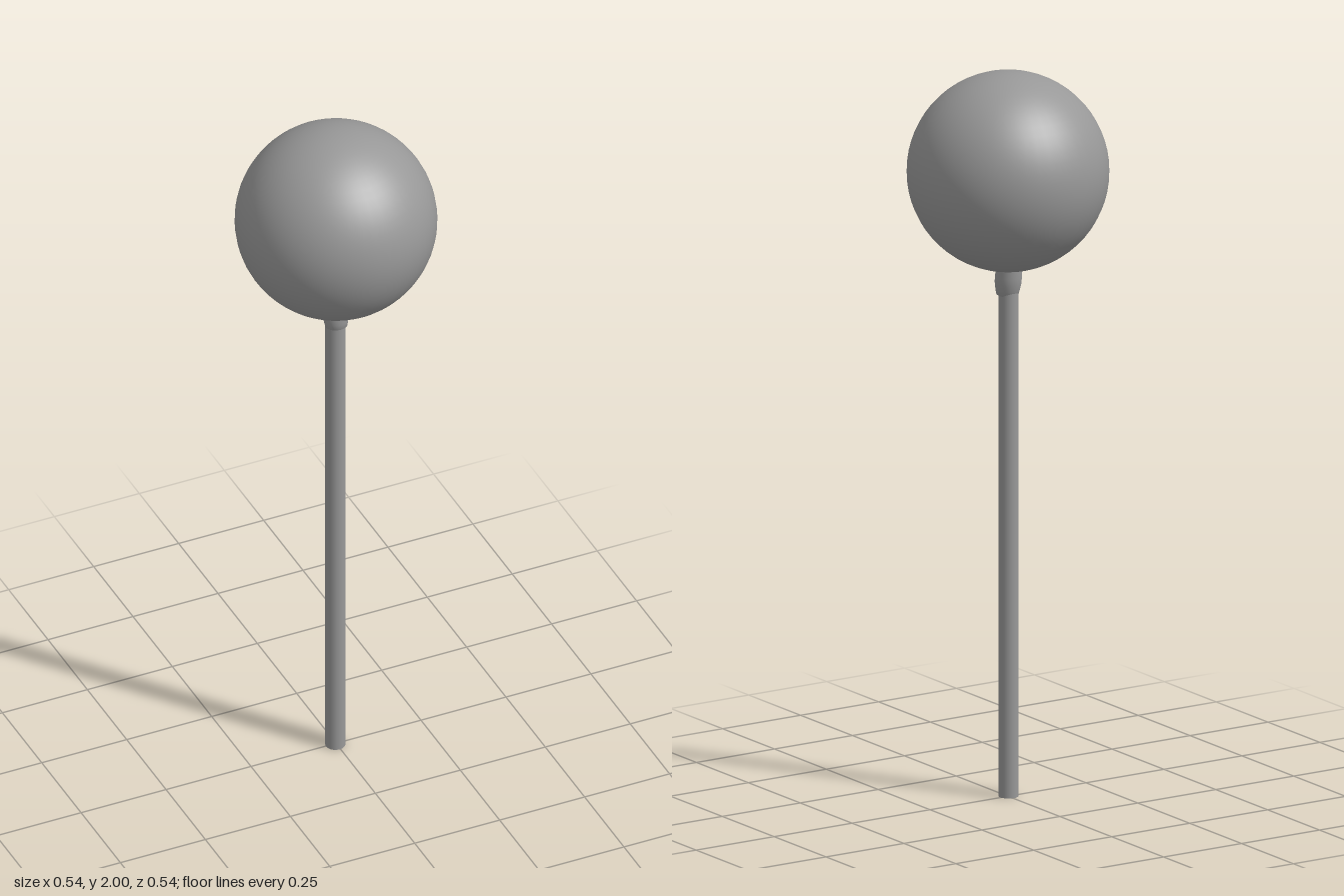
import * as THREE from 'three';

export function createModel() {
  const model = new THREE.Group();
  const material = new THREE.MeshStandardMaterial({ color: 0x989898 });
  const add = (name, geometry, x, y, z) => {
    const mesh = new THREE.Mesh(geometry, material);
    mesh.name = name;
    mesh.position.set(x, y, z);
    model.add(mesh);
    return mesh;
  };

  // Round head
  add('ball', new THREE.SphereGeometry(0.271, 48, 32), 0, 1.729, 0);

  // Straight stick, sunk a little into the ball
  const stickHeight = 1.5;
  add('stick', new THREE.CylinderGeometry(0.027, 0.027, stickHeight, 32), -0.003, stickHeight / 2, 0.002);

  // Barrel-shaped collar gathered under the ball, tipped slightly to the back
  const profile = [
    [0.025, -0.046], [0.03, -0.043], [0.033, -0.028], [0.036, -0.01],
    [0.036, 0.01], [0.034, 0.03], [0.033, 0.05],
  ].map(([r, y]) => new THREE.Vector2(r, y));
  const collar = add('collar', new THREE.LatheGeometry(profile, 32), -0.003, 1.43, 0.003);
  collar.rotation.x = -0.12;

  return model;
}
